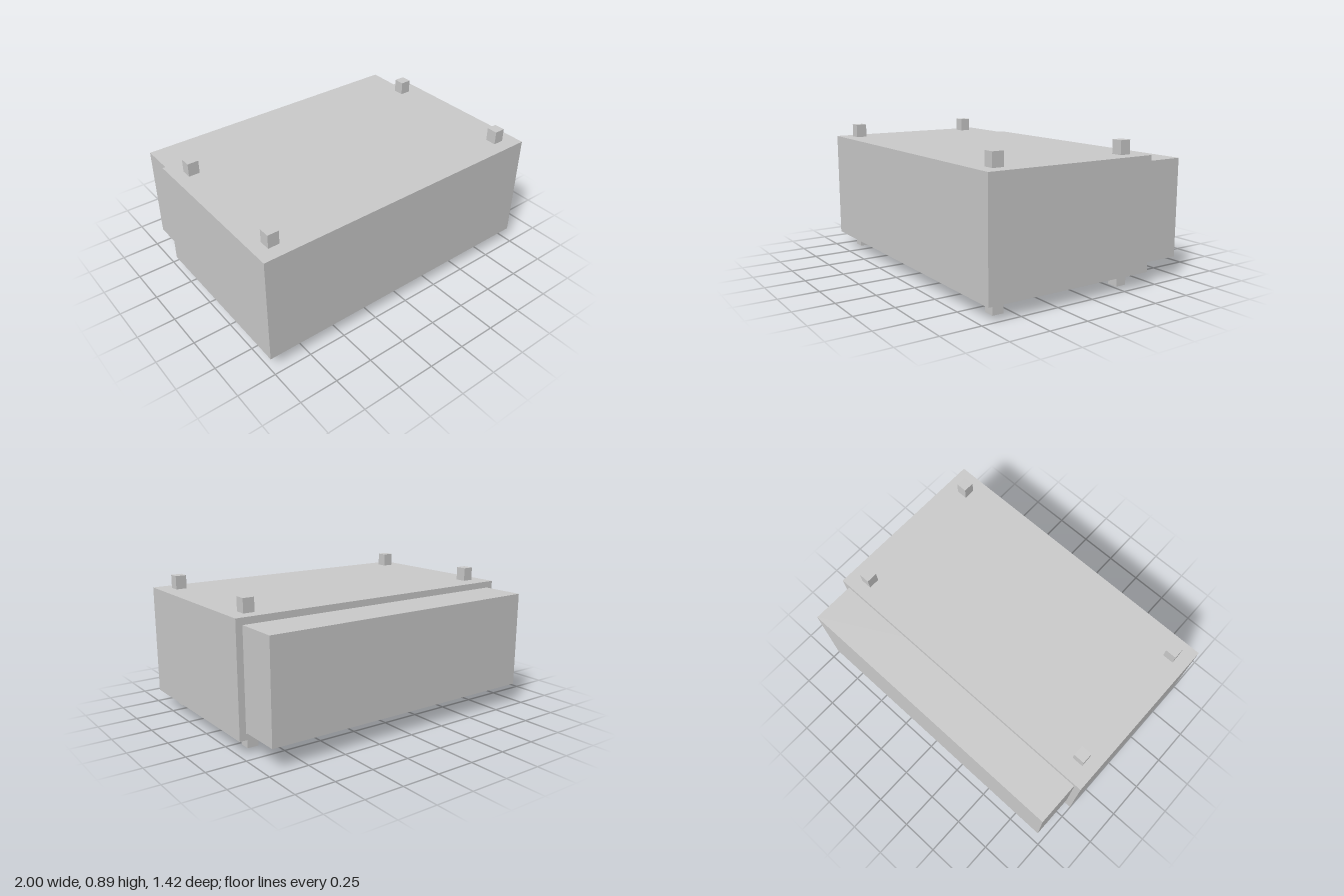
import * as THREE from 'three';

const material = new THREE.MeshStandardMaterial({ color: 0xcccccc, flatShading: true });

function addBox(group, name, w, h, d, x, y, z) {
  const mesh = new THREE.Mesh(new THREE.BoxGeometry(w, h, d), material);
  mesh.name = name;
  mesh.position.set(x, y, z);
  group.add(mesh);
}

// Rectangular tube along +z, with walls of the given thickness
function frameGeometry(w, h, wall, depth) {
  const rect = (Type, a, b) => new Type([
    new THREE.Vector2(-a, -b), new THREE.Vector2(a, -b),
    new THREE.Vector2(a, b), new THREE.Vector2(-a, b),
  ]);
  const shape = rect(THREE.Shape, w / 2, h / 2);
  shape.holes.push(rect(THREE.Path, w / 2 - wall, h / 2 - wall));
  return new THREE.ExtrudeGeometry(shape, { depth, bevelEnabled: false });
}

export function createModel() {
  const model = new THREE.Group();
  model.name = 'sleeveBox';

  // Outer sleeve: open at the back, closed at the front
  const sleeve = new THREE.Group();
  sleeve.name = 'sleeve';
  const bottom = 0.09, top = 0.80, wall = 0.042;
  const shell = new THREE.Mesh(frameGeometry(2, top - bottom, wall, 1.10), material);
  shell.name = 'sleeveWalls';
  shell.position.set(0, (top + bottom) / 2, -0.43);
  sleeve.add(shell);
  addBox(sleeve, 'sleeveFront', 2, top - bottom, 0.04, 0, (top + bottom) / 2, 0.69);
  model.add(sleeve);

  // Sliding tray: open underneath, pulled out at the back
  const tray = new THREE.Group();
  tray.name = 'tray';
  const back = -0.71, front = 0.33, thick = 0.03, low = 0.133, high = 0.757;
  const depth = front - back, midZ = (front + back) / 2;
  const walls = new THREE.Mesh(frameGeometry(1.91, depth, thick, high - thick - low), material);
  walls.name = 'trayWalls';
  walls.rotation.x = -Math.PI / 2;
  walls.position.set(0, low, midZ);
  tray.add(walls);
  addBox(tray, 'trayTop', 1.91, thick, depth, 0, high - thick / 2, midZ);
  model.add(tray);

  // Small square feet, the same set below and above
  const spots = [[-0.88, 0.587], [0.87, 0.587], [-0.88, -0.28], [0.87, -0.31]];
  for (const [x, z] of spots) {
    addBox(model, 'foot', 0.072, 0.09, 0.072, x, 0.045, z);
    addBox(model, 'topPeg', 0.072, 0.087, 0.072, x, 0.8435, z);
  }
  return model;
}
